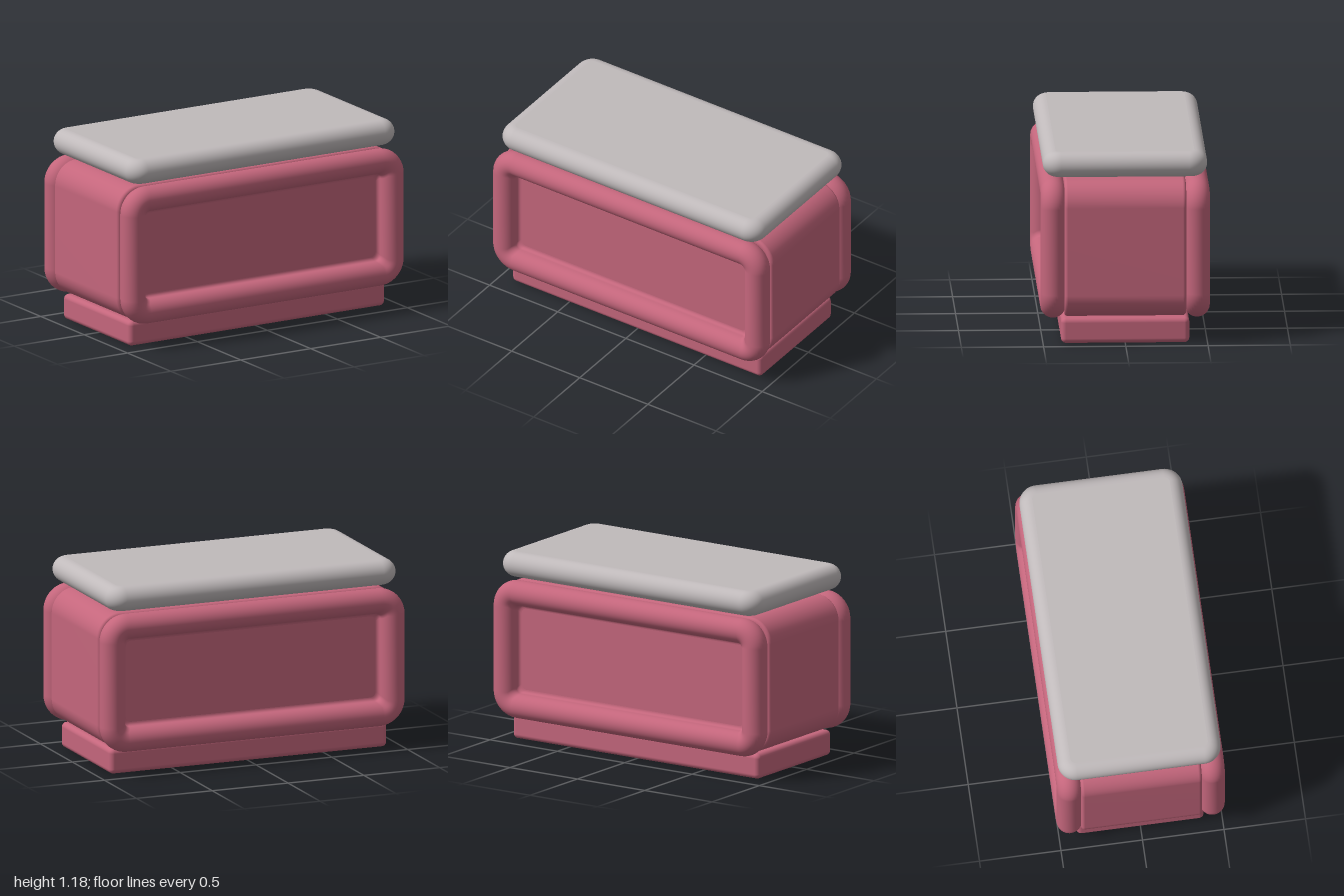
import * as THREE from 'three';
import { RoundedBoxGeometry } from 'three/addons/geometries/RoundedBoxGeometry.js';

// Rounded-rectangle outline, counter-clockwise, moved inwards by inset
function outline(halfW, halfH, radius, inset) {
  const r = Math.max(radius - inset, 0.035);
  const w = halfW - inset - r, h = halfH - inset - r;
  const steps = 10, pts = [];
  [[1, 1], [-1, 1], [-1, -1], [1, -1]].forEach(([sx, sy], corner) => {
    for (let k = 0; k <= steps; k++) {
      const a = (corner + k / steps) * Math.PI / 2;
      pts.push([sx * w + r * Math.cos(a), sy * h + r * Math.sin(a)]);
    }
  });
  return pts;
}

// Loft of outlines along z from a profile of [inset, z], closed by flat caps
function loft(halfW, halfH, radius, profile) {
  const pos = [], index = [];
  const rings = profile.map(([inset, z]) => outline(halfW, halfH, radius, inset).map(([x, y]) => [x, y, z]));
  const n = rings[0].length;
  rings.forEach(ring => ring.forEach(p => pos.push(...p)));
  for (let i = 0; i < rings.length - 1; i++) {
    for (let j = 0; j < n; j++) {
      const k = (j + 1) % n, a = i * n + j, b = i * n + k;
      index.push(a, b, b + n, a, b + n, a + n);
    }
  }
  [[rings[0], true], [rings[rings.length - 1], false]].forEach(([ring, flip]) => {
    const c = pos.length / 3;
    pos.push(0, 0, ring[0][2]);
    ring.forEach(p => pos.push(...p));
    for (let j = 0; j < n; j++) {
      const a = c + 1 + j, b = c + 1 + (j + 1) % n;
      index.push(c, flip ? b : a, flip ? a : b);
    }
  });
  const g = new THREE.BufferGeometry();
  g.setAttribute('position', new THREE.Float32BufferAttribute(pos, 3));
  g.setIndex(index);
  g.computeVertexNormals();
  return g;
}

// Arc of profile points around [inset, z]; angle 0 points outwards, 90 to +z
function arc(inset, z, r, from, to, steps = 12) {
  return Array.from({ length: steps + 1 }, (_, i) => {
    const a = THREE.MathUtils.degToRad(from + (to - from) * i / steps);
    return [inset - r * Math.cos(a), z + r * Math.sin(a)];
  });
}

export function createModel() {
  const group = new THREE.Group();
  const rose = new THREE.MeshStandardMaterial({ name: 'rose', color: 0xc4667c });
  const grey = new THREE.MeshStandardMaterial({ name: 'warmGrey', color: 0xc0babb });
  const add = (name, geometry, material, y) => {
    const m = new THREE.Mesh(geometry, material);
    m.name = name;
    m.position.y = y;
    group.add(m);
    return m;
  };

  // Plinth
  add('plinth', new RoundedBoxGeometry(1.83, 0.158, 0.78, 5, 0.03), rose, 0.079);

  // Main body between the two padded faces
  const body = [...arc(0.02, -0.35, 0.02, -90, 0, 5), ...arc(0.02, 0.35, 0.02, 0, 90, 5)];
  add('body', loft(0.987, 0.421, 0.15, body), rose, 0.581);

  // Padded rims with a recessed panel, front and back
  const r = 0.077;
  const rim = [
    ...arc(r, 0.438, r, -90, 180, 28),
    ...arc(2 * r + 0.022, 0.438, 0.022, 180, 270, 6).map(([i, z]) => [4 * r + 0.044 - i, z])
      .map(([i, z]) => [i > 2 * r + 0.022 ? 4 * r + 0.044 - i : i, z]),
  ];
  const rimGeometry = loft(1, 0.43, 0.165, rim);
  add('frontPanel', rimGeometry, rose, 0.58);
  add('backPanel', rimGeometry, rose, 0.58).rotation.y = Math.PI;

  // Floating top slab with fully rounded edges
  const slab = arc(0.078, 0, 0.078, -90, 90, 20);
  add('topSlab', loft(0.957, 0.5, 0.11, slab).rotateX(-Math.PI / 2), grey, 1.107);

  return group;
}
